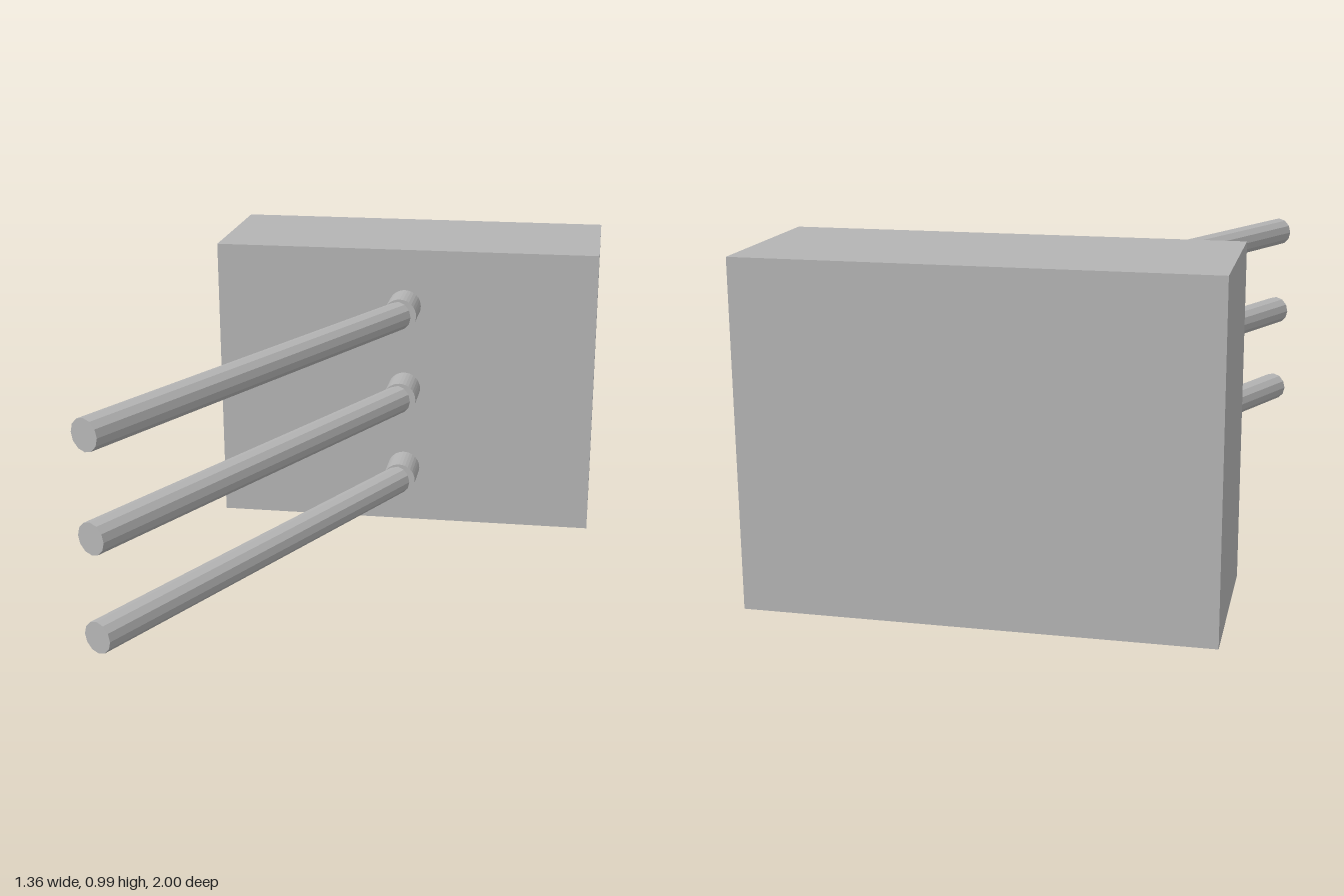
import * as THREE from 'three';

export function createModel() {
  const model = new THREE.Group();
  const grey = new THREE.MeshStandardMaterial({ color: 0xb4b4b4 });
  grey.name = 'grey';
  grey.flatShading = true;

  const add = (name, geometry) => {
    const mesh = new THREE.Mesh(geometry, grey);
    mesh.name = name;
    model.add(mesh);
    return mesh;
  };

  // Solid block at the back
  add('block', new THREE.BoxGeometry(1.317, 0.99, 0.524)).position.set(0.019, 0.495, -0.738);

  // Three stacked collars, each with a slanted rod
  const collarGeometry = new THREE.CylinderGeometry(0.056, 0.056, 0.132, 32).rotateX(Math.PI / 2);
  const start = new THREE.Vector3(0.016, 0, -0.344);
  const end = new THREE.Vector3(-0.64, 0, 0.976);
  const along = end.clone().sub(start);
  const turn = new THREE.Quaternion().setFromUnitVectors(
    new THREE.Vector3(0, 0, 1), along.clone().normalize());
  const rodGeometry = new THREE.CylinderGeometry(0.048, 0.048, along.length(), 12).rotateX(Math.PI / 2);

  for (const y of [0.2, 0.496, 0.793]) {
    add('collar', collarGeometry).position.set(0.019, y, -0.41);
    const rod = add('rod', rodGeometry);
    rod.position.copy(start).add(end).multiplyScalar(0.5).setY(y);
    rod.quaternion.copy(turn);
  }
  return model;
}
